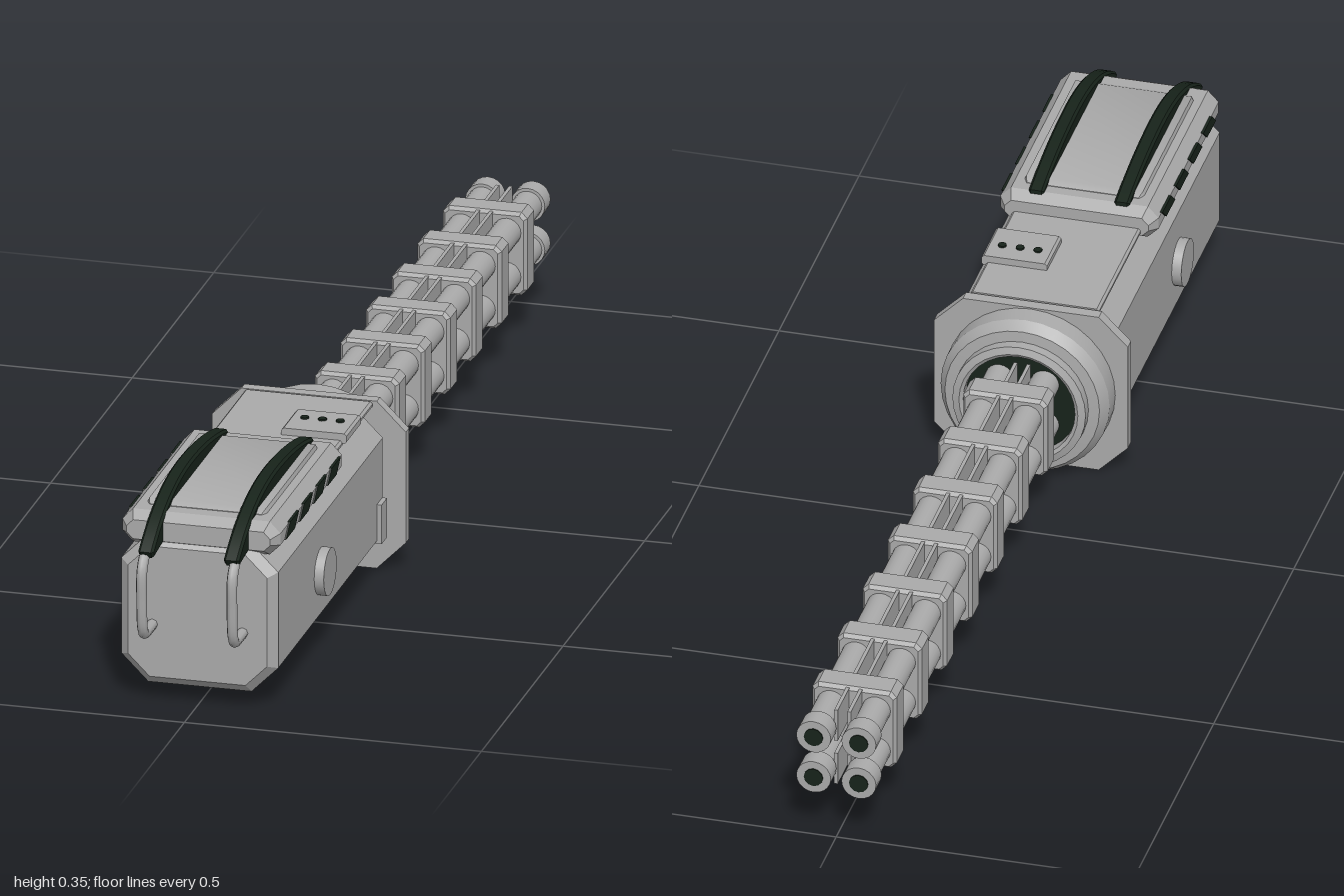
import * as THREE from 'three';
import { toCreasedNormals } from 'three/addons/utils/BufferGeometryUtils.js';

const metal = new THREE.MeshStandardMaterial({ color: 0xaaaaaa });
metal.name = 'grey metal';
const dark = new THREE.MeshStandardMaterial({ color: 0x17231a });
dark.name = 'dark green black';

const AXIS_Y = 0.146; // height of the barrel axis

function add(group, name, geometry, material = metal, x = 0, y = 0, z = 0) {
  const mesh = new THREE.Mesh(geometry, material);
  mesh.name = name;
  mesh.position.set(x, y, z);
  group.add(mesh);
  return mesh;
}

function polygon(points) {
  return new THREE.Shape(points.map(([x, y]) => new THREE.Vector2(x, y)));
}

// Rectangle with cut corners, centred on the origin
function octagon(hw, hh, c) {
  return polygon([[-hw + c, -hh], [hw - c, -hh], [hw, -hh + c], [hw, hh - c],
    [hw - c, hh], [-hw + c, hh], [-hw, hh - c], [-hw, -hh + c]]);
}

// Prism along z with bevelled ends, kept inside its outline
function prism(shape, z0, z1, bevel = 0, inset = bevel) {
  const g = new THREE.ExtrudeGeometry(shape, {
    depth: z1 - z0 - 2 * bevel, bevelEnabled: bevel > 0, bevelSegments: 1,
    bevelThickness: bevel, bevelSize: inset, bevelOffset: -inset, curveSegments: 10,
  });
  return toCreasedNormals(g.translate(0, 0, z0 + bevel), 0.5);
}

// Shape drawn in (z, y), given a thickness along x and centred on x = 0
function sidePlate(shape, thickness, bevel = 0) {
  return prism(shape, -thickness / 2, thickness / 2, bevel).rotateY(-Math.PI / 2);
}

// Cylinder along z
function rod(radius, z0, z1, sides = 20) {
  return new THREE.CylinderGeometry(radius, radius, z1 - z0, sides)
    .rotateX(Math.PI / 2).translate(0, 0, (z0 + z1) / 2);
}

function createHousing() {
  const g = new THREE.Group();
  g.name = 'housing';
  add(g, 'body', prism(octagon(0.132, 0.128, 0.045), 0.25, 0.92, 0.015), metal, 0, 0.156);
  add(g, 'rearDeck', prism(octagon(0.108, 0.006, 0.004), 0.24, 0.52), metal, 0, 0.284);

  // Top cover with sloped ends and slanted vents
  add(g, 'topCover', prism(polygon([[-0.115, 0.265], [0.115, 0.265], [0.133, 0.283],
    [0.133, 0.303], [0.115, 0.322], [-0.115, 0.322], [-0.133, 0.303], [-0.133, 0.283]]),
  0.5, 0.915, 0.02, 0.012));
  add(g, 'coverRidge', prism(polygon([[-0.105, 0.31], [0.105, 0.31], [0.098, 0.329],
    [-0.098, 0.329]]), 0.54, 0.87, 0.012, 0.006));
  const vent = sidePlate(polygon([[-0.04, -0.011], [0.015, -0.011], [0.04, 0.011], [-0.015, 0.011]]
    .map(([z, y]) => [-z, y])), 0.005);
  for (const s of [-1, 1]) {
    for (let i = 0; i < 4; i++) add(g, 'coverVent', vent, dark, s * 0.133, 0.294, 0.575 + i * 0.085);
  }

  // Round side caps
  for (const s of [-1, 1]) {
    const turn = Math.PI / 2;
    add(g, 'sideCap', rod(0.04, 0.12, 0.148, 24).rotateY(s * turn), metal, 0, 0.147, 0.645);
    add(g, 'sideCapBase', rod(0.034, 0.12, 0.138, 24).rotateY(s * turn), metal, 0, 0.147, 0.645);
  }
  add(g, 'sideLatch', new THREE.BoxGeometry(0.02, 0.068, 0.034), metal, 0.13, 0.102, 0.284);

  // Indicator panel on the deck
  add(g, 'indicatorPanel', prism(octagon(0.055, 0.009, 0.004), 0.335, 0.425), metal, 0.06, 0.293);
  for (let i = 0; i < 3; i++) {
    add(g, 'indicatorDot', new THREE.CylinderGeometry(0.007, 0.007, 0.004, 10), dark,
      0.03 + i * 0.03, 0.303, 0.372);
  }
  return g;
}

function createGrip(side) {
  const g = new THREE.Group();
  g.name = side > 0 ? 'leftGrip' : 'rightGrip';
  g.position.x = side * 0.072;

  // Arched dark strip over the cover
  const strip = new THREE.Shape();
  strip.moveTo(0.515, 0.316);
  strip.lineTo(0.97, 0.268);
  strip.lineTo(0.978, 0.28);
  strip.quadraticCurveTo(0.88, 0.352, 0.74, 0.353);
  strip.quadraticCurveTo(0.62, 0.353, 0.515, 0.326);
  add(g, 'gripStrip', sidePlate(strip, 0.026, 0.004), dark);

  // Bent tube handle
  const path = new THREE.CatmullRomCurve3([[0.94, 0.282], [0.965, 0.272], [0.983, 0.25],
    [0.985, 0.2], [0.98, 0.15], [0.97, 0.136], [0.95, 0.134], [0.91, 0.134]]
    .map(([z, y]) => new THREE.Vector3(side * 0.004, y, z)));
  add(g, 'handle', new THREE.TubeGeometry(path, 28, 0.009, 8));
  return g;
}

function createHub() {
  const g = new THREE.Group();
  g.name = 'hub';
  add(g, 'flangePlate', prism(octagon(0.163, 0.145, 0.049), 0.216, 0.236), metal, 0, 0.145);
  add(g, 'neck', prism(octagon(0.12, 0.115, 0.04), 0.23, 0.26), metal, 0, 0.15);
  const profile = [[0.142, -0.22], [0.142, -0.18], [0.13, -0.162], [0.112, -0.16],
    [0.112, -0.142], [0.1, -0.138], [0.094, -0.142], [0.094, -0.18]];
  const ring = new THREE.LatheGeometry(profile.map(([r, y]) => new THREE.Vector2(r, y)), 32);
  add(g, 'hubRing', toCreasedNormals(ring.rotateX(-Math.PI / 2), 0.5), metal, 0, AXIS_Y);
  add(g, 'hubRecess', rod(0.095, 0.162, 0.18, 32), dark, 0, AXIS_Y);
  return g;
}

function createBarrels() {
  const g = new THREE.Group();
  g.name = 'barrelCluster';
  g.position.y = AXIS_Y;
  for (const sx of [-1, 1]) {
    for (const sy of [-1, 1]) {
      const x = sx * 0.038, y = sy * 0.038;
      add(g, 'barrel', rod(0.024, -0.98, 0.17), metal, x, y);
      add(g, 'muzzle', rod(0.029, -1, -0.965), metal, x, y);
      add(g, 'bore', rod(0.016, -1.002, -0.997, 12), dark, x, y);
      // Thin rails between the barrels, leaving a slot in the middle
      add(g, 'rail', new THREE.BoxGeometry(0.006, 0.058, 1.125), metal, sx * 0.011, sy * 0.041, -0.3975);
    }
  }
  const clamp = prism(octagon(0.071, 0.072, 0.01), -0.027, 0.027, 0.007, 0.005);
  for (let i = 0; i < 7; i++) add(g, 'barrelClamp', clamp, metal, 0, 0, 0.078 - i * 0.157);
  return g;
}

export function createModel() {
  const model = new THREE.Group();
  model.name = 'rotaryBarrelTool';
  model.add(createHousing(), createHub(), createBarrels(), createGrip(1), createGrip(-1));
  return model;
}
